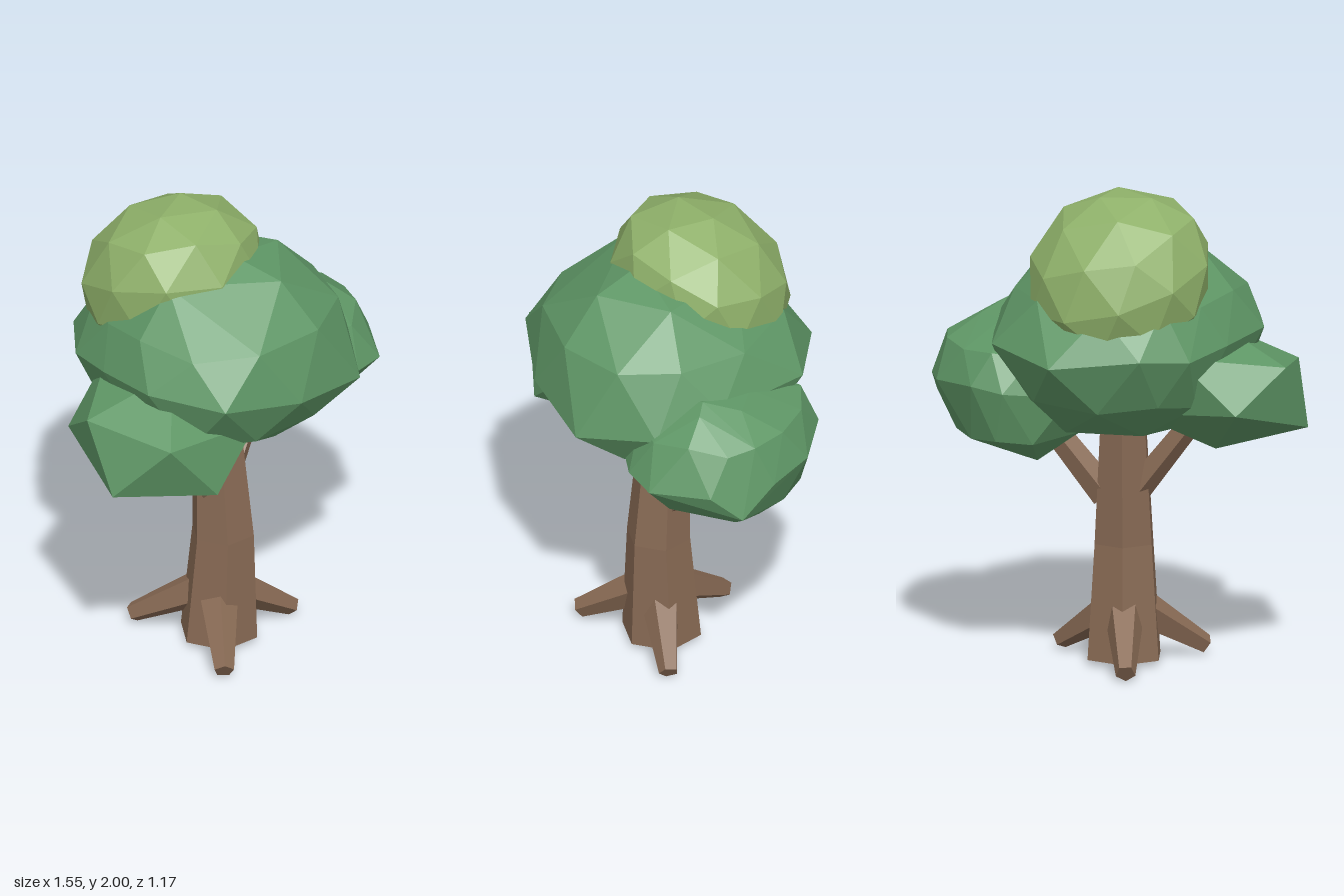
import * as THREE from 'three';
import { ConvexGeometry } from 'three/addons/geometries/ConvexGeometry.js';

const flat = (color, name) => new THREE.MeshStandardMaterial({ color, name, flatShading: true });

export function createModel() {
  const tree = new THREE.Group();
  tree.name = 'tree';
  const bark = flat(0x886a54, 'bark brown');
  const leaf = flat(0x5f9766, 'leaf green');
  const lightLeaf = flat(0x8fb16a, 'light leaf green');
  const V = (x, y, z) => new THREE.Vector3(x, y, z);

  const add = (name, geometry, material) => {
    const mesh = new THREE.Mesh(geometry, material);
    mesh.name = name;
    tree.add(mesh);
    return mesh;
  };

  // Tapered limb between two points
  const limb = (name, a, b, r0, r1) => {
    const mesh = add(name, new THREE.CylinderGeometry(r1, r0, a.distanceTo(b), 5), bark);
    mesh.position.copy(a).add(b).multiplyScalar(0.5);
    mesh.quaternion.setFromUnitVectors(V(0, 1, 0), b.clone().sub(a).normalize());
  };

  // Faceted clump: a widest outline [x, y, z], smaller copies of it above and
  // below as loops [scale, y, shift x, shift z, step], and single end points
  const clump = (name, outline, [cx, cz], loops, ends) => {
    const points = [...outline, ...ends].map((p) => V(...p));
    loops.forEach(([scale, y, sx, sz, step], k) => {
      for (let i = k % 2; i < outline.length; i += step) {
        const a = outline[i], b = outline[(i + 1) % outline.length];
        points.push(V(
          cx + sx + scale * ((a[0] + b[0]) / 2 - cx),
          y + 0.015 * Math.sin(3 * i),
          cz + sz + scale * ((a[2] + b[2]) / 2 - cz),
        ));
      }
    });
    add(name, new ConvexGeometry(points), leaf);
  };

  // Trunk: hexagonal rings [centre x, y, centre z, radius], bending as it rises
  const rings = [[-0.04, 0.02, 0.05, 0.168], [-0.03, 0.5, 0.065, 0.135], [-0.045, 1.1, 0.035, 0.1]];
  const trunk = new THREE.CylinderGeometry(1, 1, 2, 6, 2);
  trunk.rotateY(Math.PI / 6);
  const tp = trunk.attributes.position;
  for (let i = 0; i < tp.count; i++) {
    const [cx, y, cz, r] = rings[Math.round(tp.getY(i)) + 1];
    tp.setXYZ(i, cx + r * tp.getX(i), y, cz + r * tp.getZ(i));
  }
  trunk.computeVertexNormals();
  add('trunk', trunk, bark);

  // Roots
  limb('frontRoot', V(-0.09, 0.21, 0.11), V(-0.245, 0.035, 0.345), 0.082, 0.042);
  limb('leftRoot', V(0.03, 0.21, 0.07), V(0.3, 0.035, 0.1), 0.082, 0.04);
  limb('backRoot', V(-0.08, 0.21, -0.01), V(-0.245, 0.035, -0.26), 0.082, 0.042);

  // Branches
  limb('rightBranch', V(-0.08, 0.71, 0.06), V(-0.36, 1.08, 0.13), 0.062, 0.048);
  limb('leftBranch', V(0.02, 0.7, 0.01), V(0.29, 1.05, -0.09), 0.066, 0.05);

  // Main foliage: a low-waisted dome
  clump('mainFoliage', [
    [-0.39, 1.4, 0.54], [-0.03, 1.34, 0.585], [0.34, 1.29, 0.5], [0.51, 1.33, 0.2],
    [0.49, 1.42, -0.08], [0.27, 1.4, -0.47], [-0.08, 1.36, -0.59], [-0.42, 1.4, -0.43],
    [-0.55, 1.38, -0.25], [-0.585, 1.41, -0.02], [-0.58, 1.43, 0.27],
  ], [-0.04, 0], [
    [0.87, 1.59, -0.005, 0.025, 1], [0.55, 1.775, -0.015, 0.045, 2],
    [0.86, 1.17, 0, 0, 1], [0.53, 1.01, 0, 0, 2],
  ], [[-0.04, 1.84, 0.14], [-0.02, 0.985, 0]]);

  // Side foliage on the left
  clump('leftFoliage', [
    [0.77, 1.07, -0.1], [0.7, 1.18, -0.25], [0.57, 1.2, -0.42], [0.34, 1.22, -0.52],
    [0.2, 1.2, -0.5], [0, 1.17, -0.3], [-0.01, 1.17, 0.1], [0.2, 1.17, 0.28],
    [0.48, 1.18, 0.31], [0.63, 1.17, 0.26], [0.75, 1.18, 0.03],
  ], [0.38, -0.11], [
    [0.85, 1.35, -0.01, -0.01, 1], [0.38, 1.435, 0.04, 0.04, 2],
    [0.75, 0.98, -0.04, -0.05, 1],
  ], [[0.48, 1.48, 0], [0.22, 0.86, -0.2], [0.42, 0.895, -0.15]]);

  // Twenty-sided side clump: one corner, its five neighbours, and their opposites
  const centre = V(-0.42, 1.185, 0.16);
  const half = [
    V(-0.36, -0.155, 0.13), V(-0.36, 0.13, -0.04), V(-0.2, 0.08, 0.31),
    V(0.02, -0.185, 0.34), V(-0.02, -0.255, -0.04), V(-0.27, -0.04, -0.28),
  ];
  const corners = half.flatMap((h) => [centre.clone().add(h), centre.clone().sub(h)]);
  add('rightFoliage', new ConvexGeometry(corners), leaf);

  // Light crown: an eighty-sided ball with a flattened top, slanting down towards the back
  const crown = new THREE.IcosahedronGeometry(1, 1);
  crown.rotateX(0.2).rotateY(0.5).rotateZ(0.4);
  crown.scale(0.393, 0.365, 0.375);
  const cp = crown.attributes.position;
  for (let i = 0; i < cp.count; i++) {
    cp.setY(i, Math.min(cp.getY(i) + 0.2 * cp.getZ(i), 0.325 + 0.04 * cp.getY(i)));
  }
  crown.translate(-0.135, 1.66, -0.135);
  crown.computeVertexNormals();
  add('topFoliage', crown, lightLeaf);

  return tree;
}
